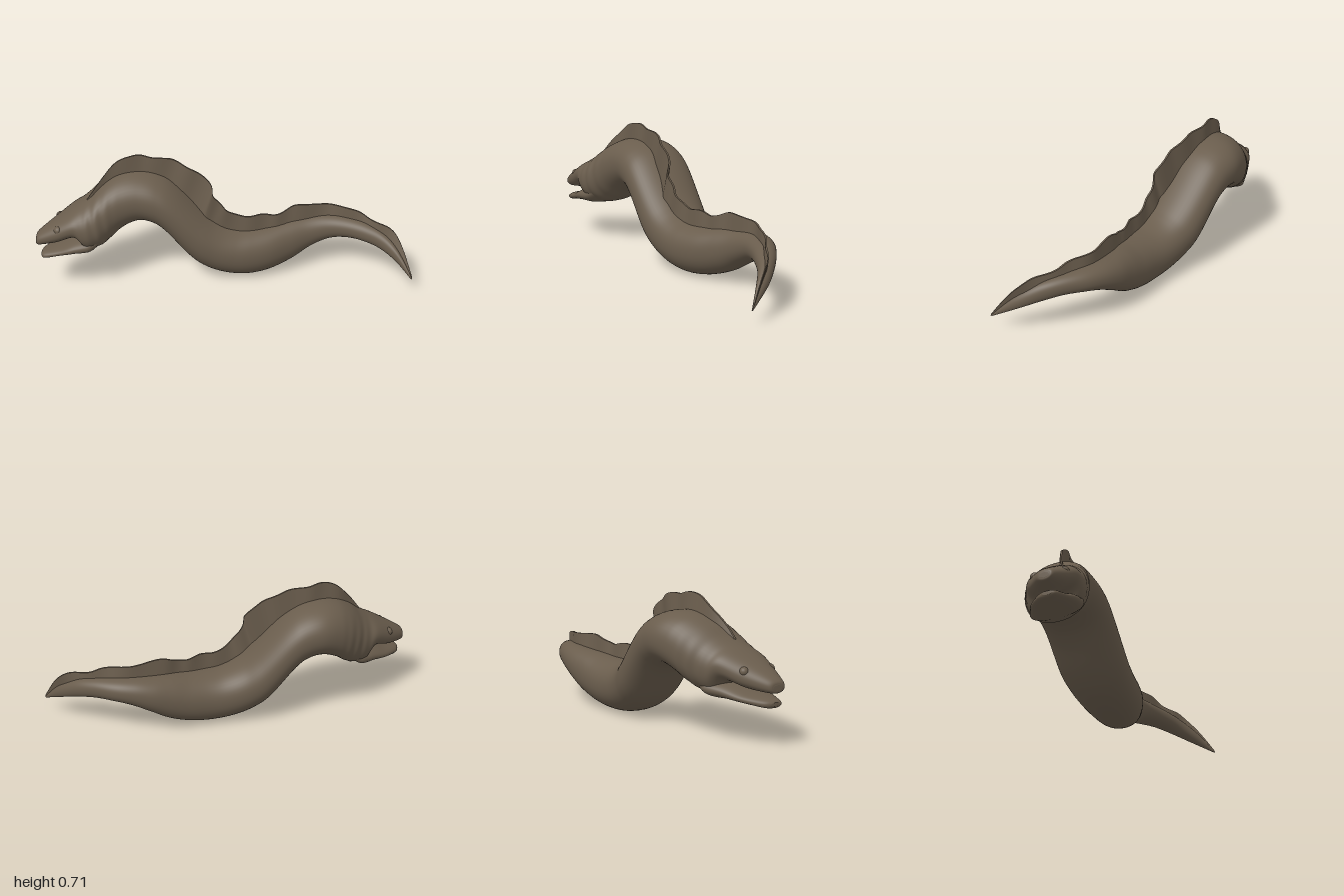
import * as THREE from 'three';
import { toCreasedNormals } from 'three/addons/utils/BufferGeometryUtils.js';

// Sections: top x, top y, bottom x, bottom y, centre z, half width
const BODY = [
  [-1.0, 0.315, -1.0, 0.288, 0.16, 0.026],
  [-0.985, 0.342, -0.985, 0.272, 0.155, 0.052],
  [-0.89, 0.405, -0.89, 0.282, 0.118, 0.105],
  [-0.81, 0.455, -0.79, 0.305, 0.085, 0.145],
  [-0.76, 0.485, -0.73, 0.23, 0.07, 0.165],
  [-0.71, 0.52, -0.66, 0.235, 0.045, 0.178],
  [-0.65, 0.572, -0.61, 0.265, 0.012, 0.185],
  [-0.57, 0.615, -0.55, 0.312, -0.022, 0.187],
  [-0.47, 0.628, -0.47, 0.345, -0.046, 0.191],
  [-0.36, 0.605, -0.4, 0.335, -0.05, 0.192],
  [-0.26, 0.54, -0.33, 0.285, -0.05, 0.192],
  [-0.1, 0.375, -0.2, 0.13, -0.05, 0.188],
  [-0.02, 0.313, -0.11, 0.06, -0.048, 0.176],
  [0.06, 0.282, 0.0, 0.018, -0.05, 0.164],
  [0.14, 0.275, 0.12, 0.003, -0.06, 0.153],
  [0.24, 0.28, 0.24, 0.017, -0.085, 0.14],
  [0.34, 0.295, 0.36, 0.06, -0.12, 0.118],
  [0.44, 0.305, 0.46, 0.12, -0.147, 0.098],
  [0.54, 0.312, 0.56, 0.168, -0.15, 0.084],
  [0.65, 0.31, 0.65, 0.188, -0.128, 0.076],
  [0.76, 0.295, 0.74, 0.19, -0.083, 0.064],
  [0.85, 0.262, 0.83, 0.172, -0.03, 0.05],
  [0.93, 0.195, 0.915, 0.135, 0.045, 0.036],
  [1.0, 0.085, 0.995, 0.078, 0.145, 0.004],
];

const JAW = [
  [-0.977, 0.225, -0.977, 0.206, 0.165, 0.025],
  [-0.957, 0.238, -0.957, 0.195, 0.155, 0.055],
  [-0.88, 0.262, -0.88, 0.208, 0.12, 0.098],
  [-0.8, 0.298, -0.8, 0.217, 0.095, 0.13],
  [-0.7, 0.33, -0.7, 0.227, 0.06, 0.15],
  [-0.62, 0.38, -0.62, 0.31, 0.03, 0.1],
];

// Fin: base x, top x, top y, z
const FIN = [
  [-0.73, -0.73, 0.505, 0.09],
  [-0.66, -0.65, 0.61, 0.05],
  [-0.58, -0.57, 0.69, 0.01],
  [-0.48, -0.48, 0.717, -0.01],
  [-0.41, -0.4, 0.7, -0.02],
  [-0.33, -0.3, 0.693, -0.025],
  [-0.26, -0.22, 0.655, -0.015],
  [-0.2, -0.15, 0.62, -0.01],
  [-0.14, -0.08, 0.555, 0.005],
  [-0.11, -0.068, 0.49, 0.015],
  [-0.07, -0.025, 0.435, 0.005],
  [0.0, 0.02, 0.388, 0],
  [0.1, 0.1, 0.355, -0.015],
  [0.18, 0.18, 0.36, -0.035],
  [0.25, 0.25, 0.345, -0.055],
  [0.31, 0.31, 0.358, -0.075],
  [0.38, 0.38, 0.385, -0.1],
  [0.5, 0.5, 0.377, -0.13],
  [0.6, 0.6, 0.37, -0.128],
  [0.7, 0.7, 0.358, -0.1],
  [0.77, 0.78, 0.322, -0.065],
  [0.86, 0.88, 0.3, -0.015],
  [0.92, 0.94, 0.235, 0.045],
  [0.998, 1.0, 0.092, 0.143],
];

// Catmull-Rom interpolation of every column of a table
function resample(rows, steps) {
  const row = i => rows[Math.min(Math.max(i, 0), rows.length - 1)];
  return Array.from({ length: steps + 1 }, (_, s) => {
    const t = (s / steps) * (rows.length - 1);
    const i = Math.min(Math.floor(t), rows.length - 2), f = t - i;
    return rows[0].map((_, c) => {
      const [a, b, d, e] = [row(i - 1)[c], row(i)[c], row(i + 1)[c], row(i + 2)[c]];
      return b + 0.5 * f * (d - a + f * (2 * a - 5 * b + 4 * d - e + f * (3 * (b - d) + e - a)));
    });
  });
}

// Skin a list of rings and close both ends
function loft(rings) {
  const n = rings[0].length, pos = rings.flat(2), index = [];
  for (let i = 0; i < rings.length - 1; i++) {
    for (let j = 0; j < n; j++) {
      const a = i * n + j, b = i * n + (j + 1) % n;
      index.push(a, b, a + n, b, b + n, a + n);
    }
  }
  const last = (rings.length - 1) * n;
  for (let j = 1; j < n - 1; j++) {
    index.push(0, j + 1, j, last, last + j, last + j + 1);
  }
  const geometry = new THREE.BufferGeometry();
  geometry.setAttribute('position', new THREE.Float32BufferAttribute(pos, 3));
  geometry.setIndex(index);
  geometry.computeVertexNormals();
  return geometry;
}

// Rounded section with shallow skin folds around the throat
function section([tx, ty, bx, by, z, w]) {
  const mx = (tx + bx) / 2, my = (ty + by) / 2;
  const fold = 1 + 0.016 * Math.sin(mx * 120) * Math.exp(-(((mx + 0.67) / 0.07) ** 2));
  const soft = v => Math.sign(v) * Math.abs(v) ** 0.92;
  return Array.from({ length: 48 }, (_, j) => {
    const a = (j / 48) * Math.PI * 2;
    const c = soft(Math.cos(a)), s = soft(Math.sin(a)) * fold;
    return [mx + c * (tx - bx) / 2, my + c * (ty - by) / 2, z + s * w];
  });
}

export function createModel() {
  const skin = new THREE.MeshStandardMaterial({ color: 0x6a5d4d });
  skin.name = 'brownSkin';
  const model = new THREE.Group();
  model.name = 'eel';
  const add = (name, geometry) => {
    const mesh = new THREE.Mesh(geometry, skin);
    mesh.name = name;
    model.add(mesh);
    return mesh;
  };

  // Body with upper jaw, and the separate lower jaw
  const spine = resample(BODY, 230);
  add('body', loft(spine.map(section)));
  add('lowerJaw', loft(resample(JAW, 40).map(section)));

  // Wavy fin rooted just under the ridge of the back
  const ridge = x => {
    const i = Math.max(1, spine.findIndex(r => r[0] >= x));
    const [a, b] = [spine[i - 1], spine[i]];
    return THREE.MathUtils.mapLinear(x, a[0], b[0], a[1], b[1]);
  };
  const finRings = resample(FIN, 160).map(([bx, tx, ty, z], i) => {
    const taper = Math.min(1, (1.02 - bx) * 5);
    const by = ridge(Math.min(bx, 0.999)) - 0.03 * taper;
    const wave = 0.006 * Math.sin(i * 0.45) * taper;
    const base = 0.013 * taper, tip = 0.005 * taper;
    return [
      [tx, ty, z + wave + tip], [bx, by, z + base],
      [bx, by, z - base], [tx, ty, z + wave - tip],
    ];
  });
  add('dorsalFin', toCreasedNormals(loft(finRings), 0.8));

  // Small raised eyes on both sides of the snout
  for (const [name, x, z] of [['leftEye', -0.875, 0.198], ['rightEye', -0.885, 0.04]]) {
    const eye = add(name, new THREE.SphereGeometry(0.024, 20, 14));
    eye.position.set(x, 0.372, z);
  }
  return model;
}
